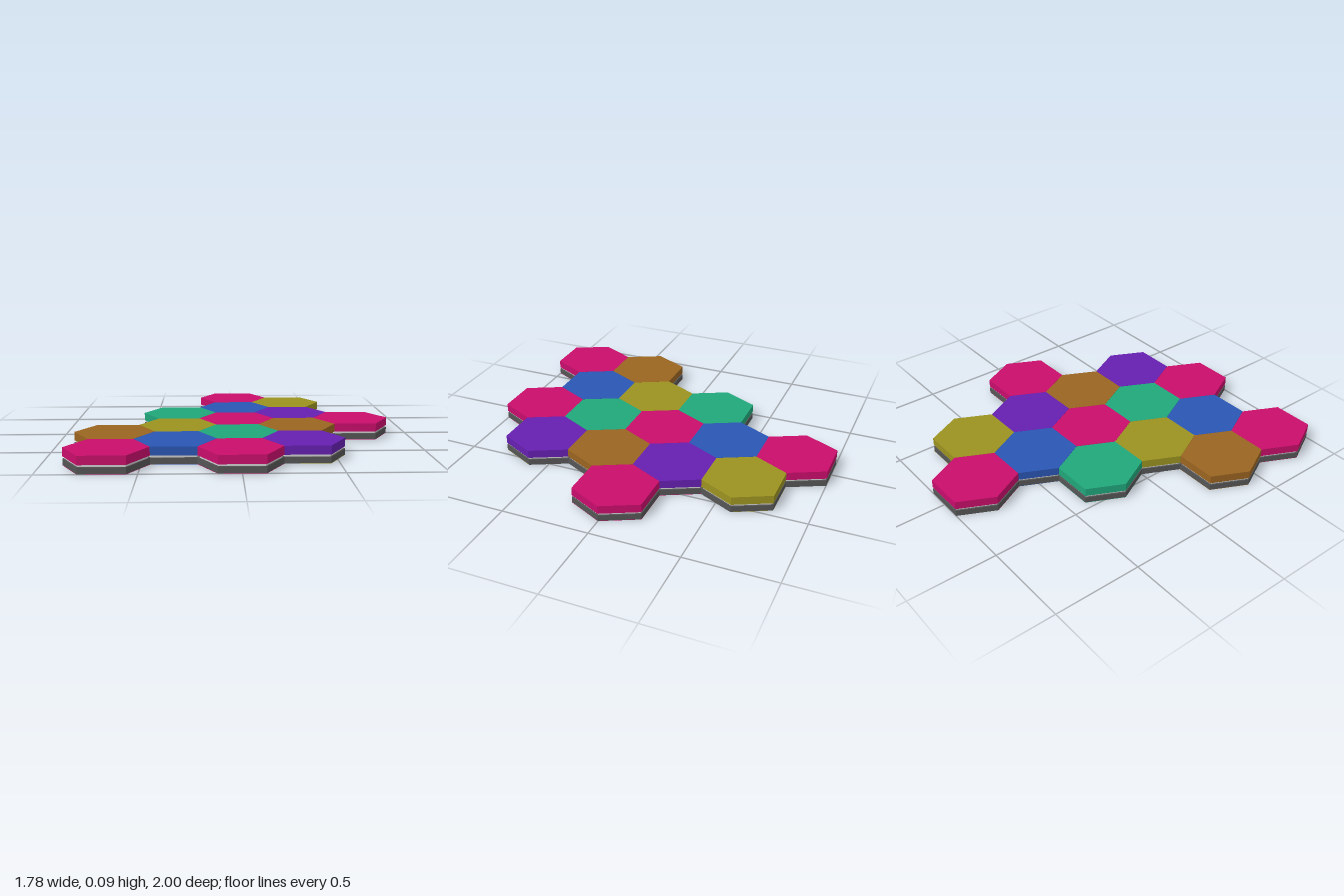
import * as THREE from 'three';

const COLORS = {
  magenta: 0xc80d6b, olive: 0x9c9220, blue: 0x2a56b4, green: 0x20a67a,
  purple: 0x661fb0, brown: 0x9a6420, darkGray: 0x555555, lightGray: 0xd0d0d0,
};

// column, z, top colour, underside colour, underside halves (B = back, F = front)
const TILES = [
  [0, -0.8, 'magenta', 'magenta', 'F'],
  [1, -0.6, 'olive', 'olive', 'B'],
  [0, -0.4, 'blue', 'blue', 'B'],
  [-1, -0.2, 'green', 'green', 'BF'],
  [1, -0.2, 'purple', 'magenta', 'B'],
  [0, 0, 'magenta', 'magenta', 'B'],
  [2, 0, 'magenta', 'magenta', 'BF'],
  [-1, 0.2, 'olive', 'olive', ''],
  [1, 0.2, 'brown', 'brown', 'B'],
  [-2, 0.4, 'brown', 'brown', 'B'],
  [0, 0.4, 'green', 'magenta', 'F'],
  [-1, 0.6, 'blue', 'blue', 'BF'],
  [1, 0.6, 'purple', 'olive', 'F'],
  [-2, 0.8, 'magenta', 'magenta', 'BF'],
  [0, 0.8, 'magenta', 'magenta', 'BF'],
];

const CORNER = 0.217, EDGE = 0.118, DEPTH = 0.2, COLUMN = 0.336;

// Flat prism standing on the xz plane between two heights
function prism(points, y0, y1) {
  const shape = new THREE.Shape(points.map(([x, y]) => new THREE.Vector2(x, y)));
  const geometry = new THREE.ExtrudeGeometry(shape, { depth: y1 - y0, bevelEnabled: false });
  return geometry.rotateX(-Math.PI / 2).translate(0, y0, 0);
}

export function createModel() {
  const model = new THREE.Group();
  model.name = 'hexTileBoard';

  const materials = {};
  for (const [name, color] of Object.entries(COLORS)) {
    materials[name] = new THREE.MeshStandardMaterial({ color });
    materials[name].name = name;
  }

  const back = [[CORNER, 0], [EDGE, DEPTH], [-EDGE, DEPTH], [-CORNER, 0]];
  const front = back.map(([x, y]) => [-x, -y]);
  const hexagon = [...back, front[1], front[2]];
  const inset = hexagon.map(([x, y]) => [x * 0.96, y * 0.96]);

  const geometries = {
    top: prism(hexagon, 0.046, 0.092),
    spacer: prism(inset, 0.034, 0.047),
    base: prism(hexagon, 0.002, 0.035),
    B: prism(back, 0, 0.002),
    F: prism(front, 0, 0.002),
  };

  for (const [column, z, topColor, underColor, halves] of TILES) {
    const tile = new THREE.Group();
    tile.name = topColor + 'Tile';
    tile.position.set(column * COLUMN, 0, z);
    const add = (name, part, color) => {
      const mesh = new THREE.Mesh(geometries[part], materials[color]);
      mesh.name = name;
      tile.add(mesh);
    };
    add('tileTop', 'top', topColor);
    add('tileSpacer', 'spacer', 'lightGray');
    add('tileBase', 'base', 'darkGray');
    // Underside plates, one for each half of the hexagon
    for (const half of 'BF') {
      add('undersidePlate', half, halves.includes(half) ? underColor : 'darkGray');
    }
    model.add(tile);
  }
  return model;
}
